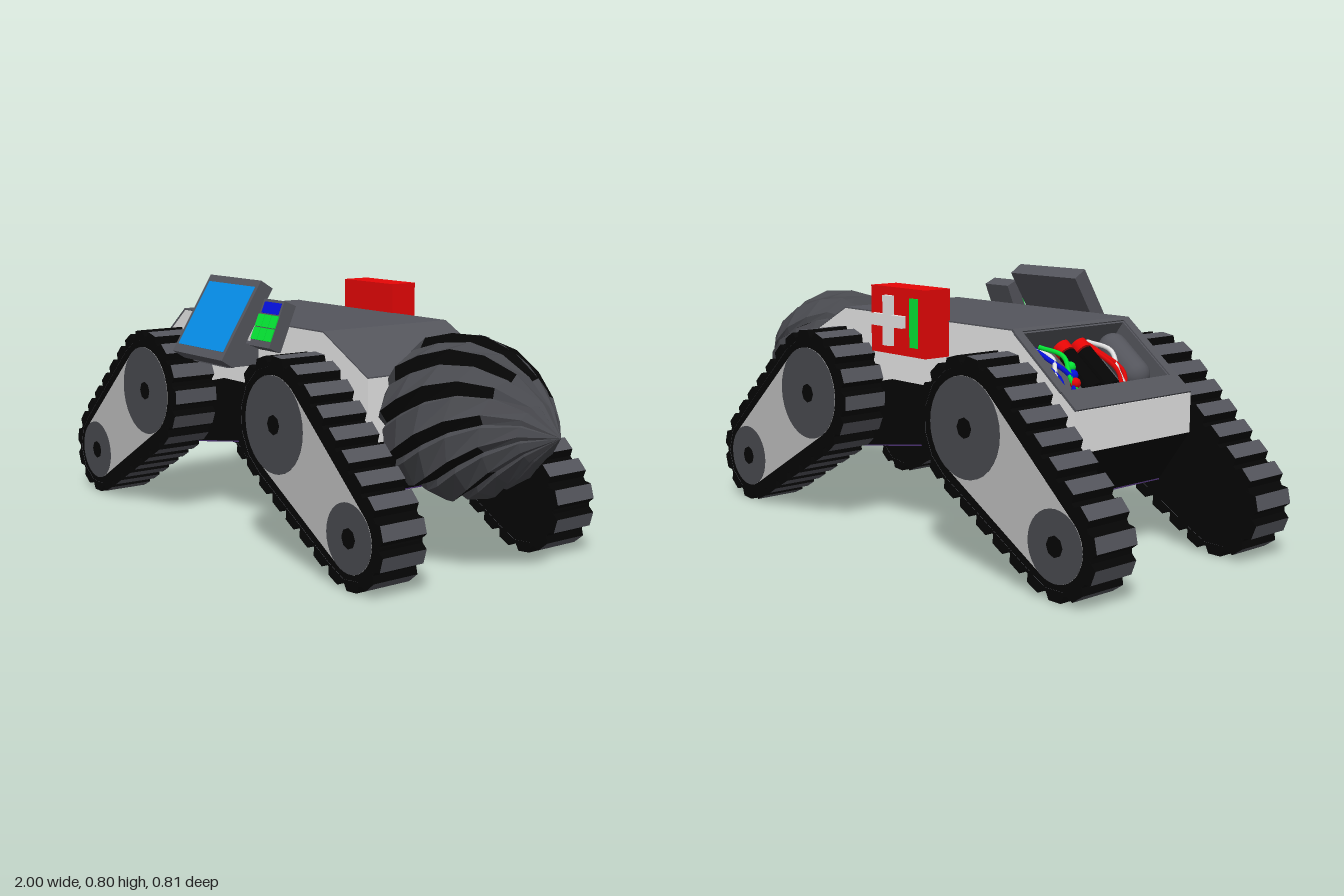
import * as THREE from 'three';

const mat = (name, color) => Object.assign(new THREE.MeshStandardMaterial({ color }), { name });
const M = {
  dark: mat('dark grey metal', 0x54555c),
  light: mat('light grey hull', 0xe4e4e4),
  arm: mat('mid grey arm', 0xbababa),
  black: mat('black rubber', 0x050505),
  purple: mat('purple underside', 0x4e3374),
  red: mat('red', 0xe60606),
  sky: mat('screen blue', 0x0690ec),
  blue: mat('deep blue', 0x0510dc),
  green: mat('green', 0x04e434),
  drill: mat('drill steel', 0x48494e),
};

function add(parent, name, geo, material, x = 0, y = 0, z = 0) {
  const m = new THREE.Mesh(geo, material);
  m.name = name;
  m.position.set(x, y, z);
  parent.add(m);
  return m;
}
function group(parent, name, x = 0, y = 0, z = 0) {
  const g = new THREE.Group();
  g.name = name;
  g.position.set(x, y, z);
  parent.add(g);
  return g;
}
const box = (w, h, d) => new THREE.BoxGeometry(w, h, d);
const polygon = points => new THREE.Shape(points.map(p => new THREE.Vector2(...p)));
// Extrudes an x-y outline, centred on z
const slab = (shape, depth, z) =>
  new THREE.ExtrudeGeometry(shape, { depth, bevelEnabled: false, curveSegments: 16 }).translate(0, 0, z - depth / 2);

// Outline of a belt running round two wheels
function beltShape(ax, ay, ra, bx, by, rb) {
  const phi = Math.atan2(by - ay, bx - ax);
  const alpha = Math.acos((ra - rb) / Math.hypot(bx - ax, by - ay));
  const s = new THREE.Shape();
  s.absarc(ax, ay, ra, phi + alpha, phi + 2 * Math.PI - alpha, false);
  s.absarc(bx, by, rb, phi - alpha, phi + alpha, false);
  s.closePath();
  return s;
}

// Tread pad tapering towards its outer face (-y)
function padGeometry() {
  const geo = box(0.074, 0.032, 0.152), p = geo.attributes.position;
  for (let i = 0; i < p.count; i++) if (p.getY(i) < 0) p.setX(i, p.getX(i) * 0.6);
  geo.computeVertexNormals();
  return geo;
}

// Track unit: sx picks the end of the vehicle, sz the side
function makeTrack(parent, sx, sz) {
  const g = group(parent, 'track');
  const big = [-0.12 + sx * 0.375, 0.415], small = [-0.12 + sx * 0.73, 0.156];
  const z = sz * 0.327, face = sz * 0.4015;
  const belt = beltShape(...big, 0.182, ...small, 0.132);
  add(g, 'belt', slab(belt, 0.15, z), M.black);
  add(g, 'armPanel', slab(beltShape(...big, 0.145, ...small, 0.1), 0.003, face), M.arm);

  // Raised pads, grey on the tread face and black at the sides
  const pads = 24, pts = belt.getSpacedPoints(pads), padGeo = padGeometry();
  const padMats = [M.black, M.black, M.dark, M.dark, M.black, M.black];
  for (let i = 0; i < pads; i++) {
    const a = pts[i], b = pts[(i + 1) % pads];
    const dir = Math.atan2(b.y - a.y, b.x - a.x);
    const pad = add(g, 'treadPad', padGeo, padMats,
      (a.x + b.x) / 2 + Math.sin(dir) * 0.006, (a.y + b.y) / 2 - Math.cos(dir) * 0.006, z);
    pad.rotation.z = dir;
  }
  for (const [[x, y], r] of [[big, 0.145], [small, 0.1]]) {
    add(g, 'wheel', new THREE.CylinderGeometry(r, r, 0.003, 32).rotateX(Math.PI / 2), M.drill, x, y, face + sz * 0.001);
    add(g, 'hub', new THREE.CylinderGeometry(0.03, 0.03, 0.003, 8).rotateX(Math.PI / 2), M.black, x, y, face + sz * 0.002);
  }
}

// Fluted drill: ribbed rings that twist towards the tip, black in the grooves
function makeDrill(parent) {
  const rings = [[0.48, 0], [0.485, 0.2], [0.53, 0.234], [0.60, 0.243], [0.68, 0.238], [0.76, 0.205],
    [0.84, 0.152], [0.92, 0.082], [1, 0]];
  const teeth = 11, saw = [[0, 1], [0.6, 0.95], [0.72, 0.88]];
  const point = (k, j) => {
    const [x, r] = rings[k], [frac, scale] = saw[j % 3];
    const t = (Math.floor(j / 3) + frac) / teeth * Math.PI * 2 + (x - 0.48) * 2.6;
    return [x, Math.sin(t) * r * scale, Math.cos(t) * r * scale];
  };
  const steel = [], dark = [];
  for (let k = 0; k < rings.length - 1; k++) {
    for (let j = 0; j < teeth * 3; j++) {
      const a = point(k, j), b = point(k + 1, j), c = point(k + 1, j + 1), d = point(k, j + 1);
      const out = j % 3 === 2 && k >= 2 && k <= 5 ? dark : steel;
      out.push(...a, ...b, ...c, ...a, ...c, ...d);
    }
  }
  const g = group(parent, 'drill', 0, 0.447, 0);
  for (const [name, data, material] of [['drillBit', steel, M.drill], ['drillGrooves', dark, M.black]]) {
    const geo = new THREE.BufferGeometry();
    geo.setAttribute('position', new THREE.Float32BufferAttribute(data, 3));
    geo.computeVertexNormals();
    add(g, name, geo, material);
  }
}

function makeHull(parent) {
  const g = group(parent, 'hull');
  const seam = [[-0.76, 0.36], [-0.27, 0.47], [0.03, 0.47], [0.48, 0.375]];
  const top = [[0.48, 0.562], [0.27, 0.672], [-0.51, 0.672]];
  const notch = [[-0.52, 0.664], [-0.46, 0.587], [-0.645, 0.443], [-0.705, 0.52]];
  const rear = [-0.76, 0.477];
  const belly = [[-0.65, 0.204], [-0.12, 0.286], [0.41, 0.204]];
  const part = (name, points, depth, z, material) => add(g, name, slab(polygon(points), depth, z), material);
  part('hullCore', [...seam, ...top, ...notch, rear], 0.42, -0.005, M.light);
  part('rightSideWall', [...seam, ...top, rear], 0.025, -0.2275, M.light);
  part('leftSideWall', [...seam, ...top, rear], 0.03, 0.22, M.light);
  part('lowerHull', [...belly, ...[...seam].reverse()], 0.475, -0.0025, M.black);
  part('bellyPlate', [[-0.65, 0.2], [-0.12, 0.282], [0.41, 0.2], ...[...belly].reverse()], 0.475, -0.0025, M.purple);
  part('roofPlate', [...top, [-0.51, 0.676], [0.27, 0.676], [0.48, 0.566]], 0.477, -0.0025, M.dark);
}

// Open bay in the sloping tail; local x runs up the slope
function makeBay(parent) {
  const g = group(parent, 'equipmentBay', -0.635, 0.577, 0);
  g.rotation.z = Math.atan2(0.195, 0.25);
  add(g, 'lowerFrame', box(0.07, 0.007, 0.475), M.dark, -0.124, 0, -0.0025);
  add(g, 'upperFrame', box(0.013, 0.007, 0.475), M.dark, 0.152, 0, -0.0025);
  for (const z of [-0.2275, 0.22]) add(g, 'sideFrame', box(0.236, 0.007, 0.03), M.dark, 0.028, 0, z);
  add(g, 'bayFloor', box(0.235, 0.006, 0.42), M.dark, 0.028, -0.094, -0.005);
  for (const z of [-0.213, 0.203]) add(g, 'sideLining', box(0.235, 0.095, 0.006), M.dark, 0.028, -0.048, z);
  for (const x of [-0.087, 0.143]) add(g, 'endLining', box(0.006, 0.095, 0.42), M.dark, x, -0.048, -0.005);
  add(g, 'tank', new THREE.CapsuleGeometry(0.045, 0.11, 6, 16).rotateZ(Math.PI / 2), M.dark, 0.028, -0.045, 0.14);
  for (const z of [-0.055, 0.015]) {
    add(g, 'canister', new THREE.CylinderGeometry(0.026, 0.026, 0.14, 14).rotateZ(Math.PI / 2), M.black, 0.01, -0.045, z);
    add(g, 'canisterCap', new THREE.CylinderGeometry(0.027, 0.027, 0.03, 14).rotateZ(Math.PI / 2), M.red, 0.1, -0.045, z);
  }
  const wires = [[M.blue, -0.19, 0.02], [M.light, -0.165, -0.02], [M.blue, -0.145, 0.02], [M.red, 0.065, 0.02],
    [M.green, -0.115, -0.015], [M.red, 0.05, 0.015], [M.light, 0.08, -0.015]];
  for (const [material, z, sway] of wires) {
    const path = new THREE.CatmullRomCurve3([[-0.08, -0.06, z], [-0.02, -0.03, z + sway], [0.06, -0.025, z - sway], [0.135, -0.06, z]]
      .map(p => new THREE.Vector3(...p)));
    add(g, 'wire', new THREE.TubeGeometry(path, 16, 0.007, 6), material);
  }
  [M.red, M.blue, M.green].forEach((m, i) =>
    add(g, 'indicator', new THREE.SphereGeometry(0.016, 10, 8), m, -0.035 + i * 0.03, -0.035, -0.12 + i * 0.014));
}

function makeDisplays(parent) {
  // Large leaning screen
  const s = group(parent, 'mainDisplay', -0.165, 0.674, 0.308);
  s.rotation.x = -0.558;
  add(s, 'displayCase', box(0.29, 0.277, 0.05), M.dark);
  add(s, 'screen', box(0.262, 0.226, 0.004), M.sky, 0, 0.002, 0.024);
  add(parent, 'displayBracket', box(0.2, 0.07, 0.12), M.dark, -0.17, 0.572, 0.29);

  // Small keypad
  const k = group(parent, 'keypad', 0.052, 0.674, 0.265);
  k.rotation.x = -0.4;
  add(k, 'keypadCase', box(0.108, 0.15, 0.045), M.dark);
  add(k, 'keypadScreen', box(0.09, 0.036, 0.004), M.blue, 0, 0.048, 0.0215);
  for (let i = 0; i < 3; i++) for (let j = 0; j < 2; j++)
    add(k, 'key', box(0.034, 0.039, 0.008), M.green, -0.036 + i * 0.036, 0.006 - j * 0.042, 0.022);
}

// First-aid box on the back
function makeAidBox(parent) {
  const g = group(parent, 'aidBox', -0.1125, 0.67, -0.2825);
  add(g, 'aidCase', box(0.255, 0.2, 0.095), M.red);
  add(g, 'crossUpright', box(0.036, 0.15, 0.016), M.light, 0.036, 0, -0.055);
  add(g, 'crossBar', box(0.145, 0.036, 0.0155), M.light, 0.036, 0, -0.055);
  for (const x of [-0.066, -0.086]) add(g, 'greenStripe', box(0.016, 0.145, 0.006), M.green, x, 0, -0.048);
}

export function createModel() {
  const model = new THREE.Group();
  model.name = 'drillVehicle';
  makeHull(model);
  makeBay(model);
  for (const sx of [-1, 1]) for (const sz of [-1, 1]) makeTrack(model, sx, sz);
  makeDrill(model);
  makeDisplays(model);
  makeAidBox(model);
  return model;
}
